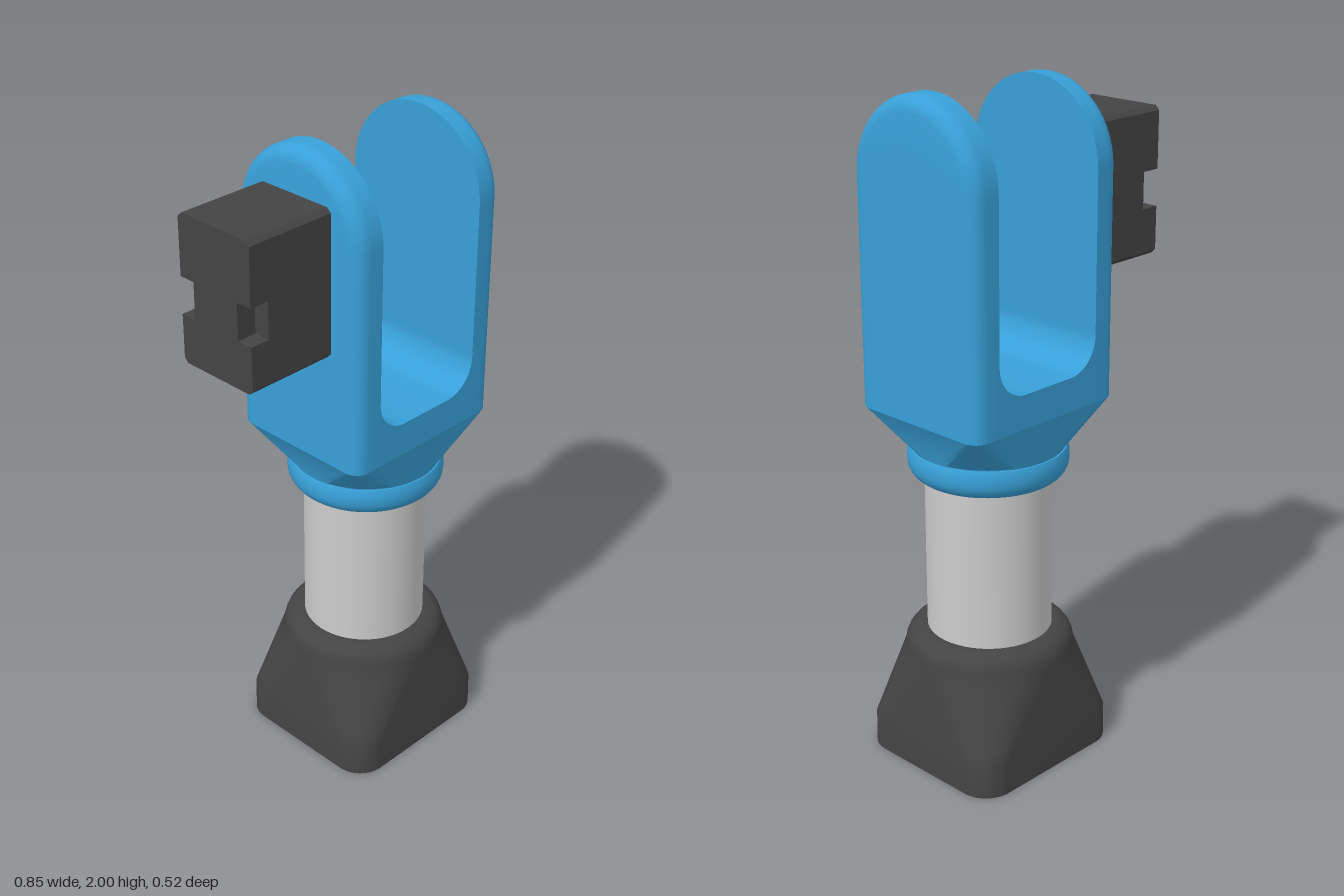
import * as THREE from 'three';
import { toCreasedNormals } from 'three/addons/utils/BufferGeometryUtils.js';

const AXIS_X = 0.14; // shaft axis

const blue = new THREE.MeshStandardMaterial({ color: 0x38a0d8 });
const dark = new THREE.MeshStandardMaterial({ color: 0x444444 });
const grey = new THREE.MeshStandardMaterial({ color: 0xcccccc });

// Skin closed rings of equal length; rings run counter-clockwise seen from the loft's end.
function loft(rings, capStart, capEnd) {
  const n = rings[0].length, pos = [];
  const tri = (a, b, c) => pos.push(...a, ...b, ...c);
  for (let k = 0; k + 1 < rings.length; k++) {
    for (let i = 0; i < n; i++) {
      const j = (i + 1) % n, a = rings[k], b = rings[k + 1];
      tri(a[i], a[j], b[j]);
      tri(a[i], b[j], b[i]);
    }
  }
  const cap = (ring, flip) => {
    const c = [0, 1, 2].map((d) => ring.reduce((s, p) => s + p[d], 0) / n);
    for (let i = 0; i < n; i++) {
      const p = ring[i], q = ring[(i + 1) % n];
      if (flip) tri(c, q, p); else tri(c, p, q);
    }
  };
  if (capStart) cap(rings[0], true);
  if (capEnd) cap(rings[rings.length - 1], false);
  const g = new THREE.BufferGeometry();
  g.setAttribute('position', new THREE.Float32BufferAttribute(pos, 3));
  return toCreasedNormals(g, 0.6);
}

// Horizontal rounded rectangle; a circle when hx = hz = r.
function ring(y, hx, hz = hx, r = hx) {
  const pts = [], K = 14;
  for (let c = 0; c < 4; c++) {
    const sx = c === 0 || c === 3 ? 1 : -1, sz = c < 2 ? 1 : -1;
    for (let i = 0; i <= K; i++) {
      const a = (c + (i + 0.25) / (K + 0.5)) * Math.PI / 2;
      pts.push([sx * (hx - r) + r * Math.cos(a), y, -(sz * (hz - r) + r * Math.sin(a))]);
    }
  }
  return pts;
}

// Fork arm: round-topped plate with its outer edge filleted.
function armGeometry() {
  const half = 0.235, fillet = 0.045, outline = (x, d) => {
    const pts = [[x, 1.1, -(half - d)]];
    for (let i = 0; i <= 32; i++) {
      const a = i / 32 * Math.PI;
      pts.push([x, 1.765 + (half - d) * Math.sin(a), -(half - d) * Math.cos(a)]);
    }
    pts.push([x, 1.1, half - d]);
    return pts;
  };
  const rings = [outline(0.19, 0)];
  for (let i = 0; i <= 6; i++) {
    const a = i / 6 * Math.PI / 2;
    rings.push(outline(0.28 - fillet + fillet * Math.sin(a), fillet * (1 - Math.cos(a))));
  }
  return loft(rings, true, true);
}

// Web between the arms, with filleted inner corners.
function webGeometry() {
  const s = new THREE.Shape();
  s.moveTo(-0.19, 1.1);
  s.lineTo(0.19, 1.1);
  s.lineTo(0.19, 1.3);
  s.absarc(0.09, 1.3, 0.1, 0, -Math.PI / 2, true);
  s.lineTo(-0.09, 1.2);
  s.absarc(-0.09, 1.3, 0.1, -Math.PI / 2, -Math.PI, true);
  const g = new THREE.ExtrudeGeometry(s, { depth: 0.47, bevelEnabled: false, curveSegments: 10 });
  g.translate(0, 0, -0.235);
  return toCreasedNormals(g, 0.6);
}

// Foot: square base blending to a round neck, bored from below.
function footGeometry() {
  const rings = [ring(0.28, 0.185), ring(0, 0.185), ring(0, 0.28, 0.262, 0.09)];
  rings.push(ring(0.1, 0.28, 0.26, 0.09));
  for (let i = 1; i <= 6; i++) {
    const t = i / 6;
    rings.push(ring(0.1 + 0.24 * t, 0.28 - 0.03 * t, 0.26 - 0.01 * t, 0.09 + 0.16 * t));
  }
  for (let i = 1; i <= 6; i++) {
    const a = i / 6 * Math.PI / 2;
    rings.push(ring(0.34 + 0.06 * Math.sin(a), 0.19 + 0.06 * Math.cos(a)));
  }
  rings.push(ring(0.4, 0.18));
  return loft(rings, false, false);
}

// Block slice along x; the profile has chamfered edges and optional side notches.
function blockSlice(x0, x1, notched) {
  const h = 0.2175, w = 0.133, c = 0.013;
  const side = [[w, -h + c]];
  if (notched) side.push([w, -0.075], [w - 0.05, -0.075], [w - 0.05, 0.035], [w, 0.035]);
  side.push([w, h - c], [w - c, h]);
  const right = [[w - c, -h], ...side];
  const left = right.map(([z, y]) => [-z, y]).reverse();
  const s = new THREE.Shape([...right, ...left].map(([z, y]) => new THREE.Vector2(z, y)));
  const g = new THREE.ExtrudeGeometry(s, { depth: x1 - x0, bevelEnabled: false });
  g.rotateY(Math.PI / 2);
  g.translate(x0, 1.6575, 0);
  return g;
}

export function createModel() {
  const model = new THREE.Group();
  const add = (parent, name, geometry, material) => {
    const m = new THREE.Mesh(geometry, material);
    m.name = name;
    parent.add(m);
    return m;
  };

  const post = new THREE.Group();
  post.name = 'post';
  post.position.x = AXIS_X;
  model.add(post);

  // Foot and shaft
  add(post, 'foot', footGeometry(), dark);
  const shaft = add(post, 'shaft', new THREE.CylinderGeometry(0.185, 0.185, 0.62, 64), grey);
  shaft.position.y = 0.59;

  // Fork: collar, shoulder, web and two arms
  const fork = new THREE.Group();
  fork.name = 'fork';
  post.add(fork);
  const profile = [new THREE.Vector2(0.18, 0.88)];
  for (let i = 0; i <= 6; i++) {
    const a = i / 6 * Math.PI / 2;
    profile.push(new THREE.Vector2(0.185 + 0.048 * Math.sin(a), 0.93 - 0.05 * Math.cos(a)));
  }
  profile.push(new THREE.Vector2(0.233, 0.955), new THREE.Vector2(0.226, 0.972), new THREE.Vector2(0.18, 0.975));
  add(fork, 'collar', toCreasedNormals(new THREE.LatheGeometry(profile, 64), 0.6), blue);
  add(fork, 'shoulder', loft([
    ring(0.95, 0.22), ring(0.975, 0.222), ring(1.1, 0.28, 0.235, 0.045),
  ], true, true), blue);
  add(fork, 'web', webGeometry(), blue);
  const arm = armGeometry();
  add(fork, 'leftArm', arm, blue);
  add(fork, 'rightArm', arm, blue).rotation.y = Math.PI;

  // Side block with notched outer end
  const block = new THREE.Group();
  block.name = 'sideBlock';
  model.add(block);
  add(block, 'blockBody', blockSlice(-0.365, -0.13, false), dark);
  add(block, 'blockNotchedEnd', blockSlice(-0.425, -0.365, true), dark);

  return model;
}
